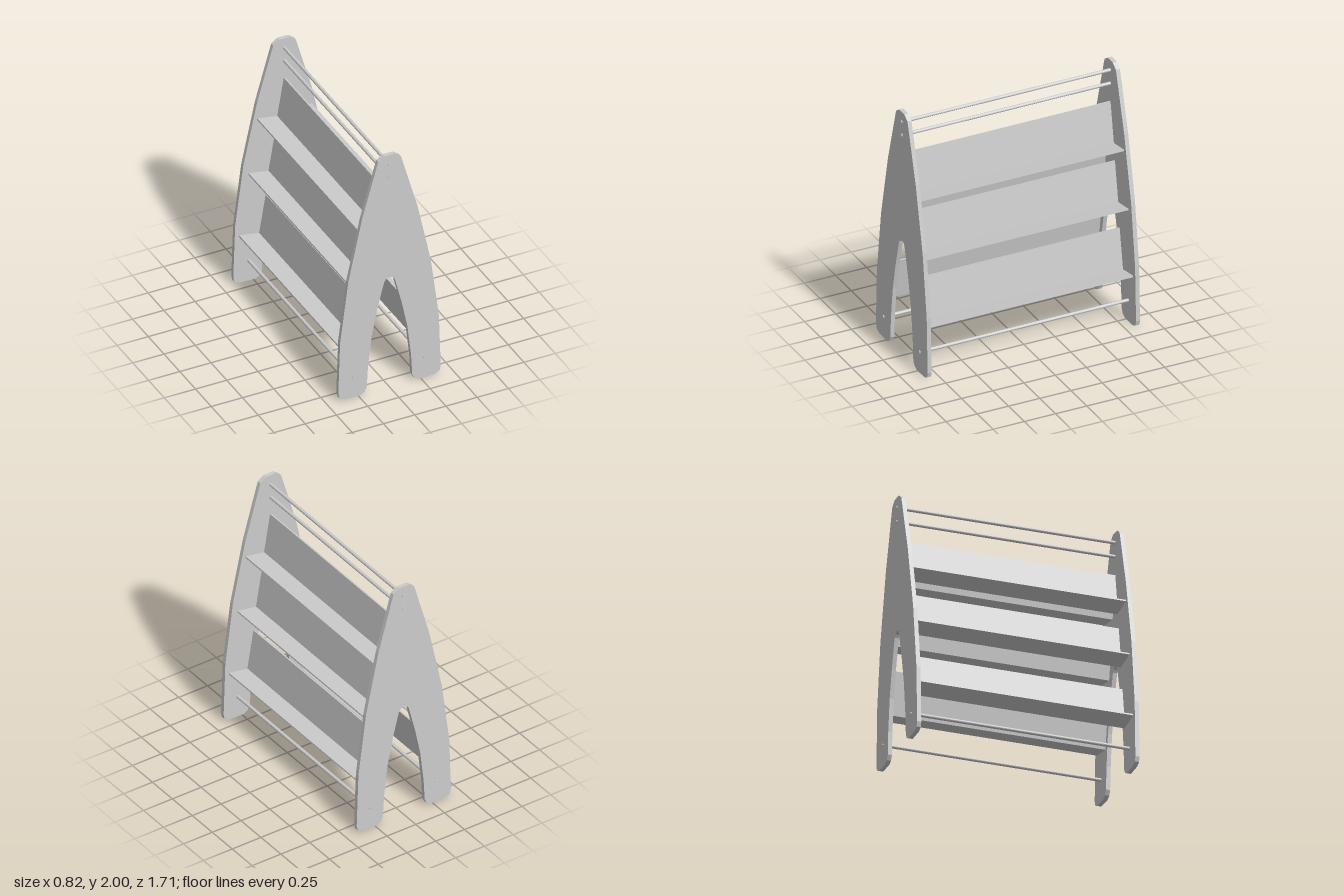
import * as THREE from 'three';

const material = new THREE.MeshStandardMaterial({ color: 0xcccccc, flatShading: true });

// Extrude a closed outline, centred along z
function slab(name, points, depth, z = 0) {
  const shape = new THREE.Shape(points.map(([x, y]) => new THREE.Vector2(x, y)));
  const geometry = new THREE.ExtrudeGeometry(shape, { depth, bevelEnabled: false });
  geometry.translate(0, 0, z - depth / 2);
  const mesh = new THREE.Mesh(geometry, material);
  mesh.name = name;
  return mesh;
}

// Round bar running front to back through both side panels
function rod(name, x, y) {
  const geometry = new THREE.CylinderGeometry(0.013, 0.013, 1.714, 16).rotateX(Math.PI / 2);
  const mesh = new THREE.Mesh(geometry, material);
  mesh.name = name;
  mesh.position.set(x, y, 0);
  return mesh;
}

export function createModel() {
  const group = new THREE.Group();
  group.name = 'bookRack';

  // A-shaped end panels: half outline from the top, round the foot, up to the arch
  const half = [
    [0.04, 2], [0.09, 1.965], [0.105, 1.915], [0.22, 1.51], [0.33, 1], [0.395, 0.5],
    [0.41, 0.06], [0.4, 0.022], [0.36, 0.003], [0.235, 0], [0.2, 0.018], [0.182, 0.055],
    [0.172, 0.23], [0.143, 0.48], [0.098, 0.7], [0.043, 0.915], [0.03, 0.935], [0.01, 0.945],
  ];
  const outline = [...half, ...half.map(([x, y]) => [-x, y]).reverse()];
  group.add(slab('frontPanel', outline, 0.032, 0.834));
  group.add(slab('backPanel', outline, 0.032, -0.834));

  // Tilted L-shaped shelves: leaning back board plus tray, mirrored on both sides
  const tilt = THREE.MathUtils.degToRad(9.5);
  const t = 0.012, width = 0.174, height = 0.33;
  const profile = [[0, 0], [width, 0], [width, t], [t, t], [t, height], [0, height]];
  const tiers = [['lower', 0.365, 0.372], ['middle', 0.29, 0.885], ['upper', 0.22, 1.335]];
  for (const [tier, edge, y] of tiers) {
    for (const side of [1, -1]) {
      const points = profile.map(([a, b]) => [
        side * (edge - width * Math.cos(tilt) + a * Math.cos(tilt) - b * Math.sin(tilt)),
        y + a * Math.sin(tilt) + b * Math.cos(tilt),
      ]);
      group.add(slab(`${tier}Shelf${side > 0 ? 'Left' : 'Right'}`, points, 1.64));
    }
  }

  // Cross rods
  group.add(rod('topRod', 0, 1.92), rod('secondRod', 0, 1.81));
  group.add(rod('footRodLeft', 0.285, 0.173), rod('footRodRight', -0.285, 0.173));
  return group;
}
